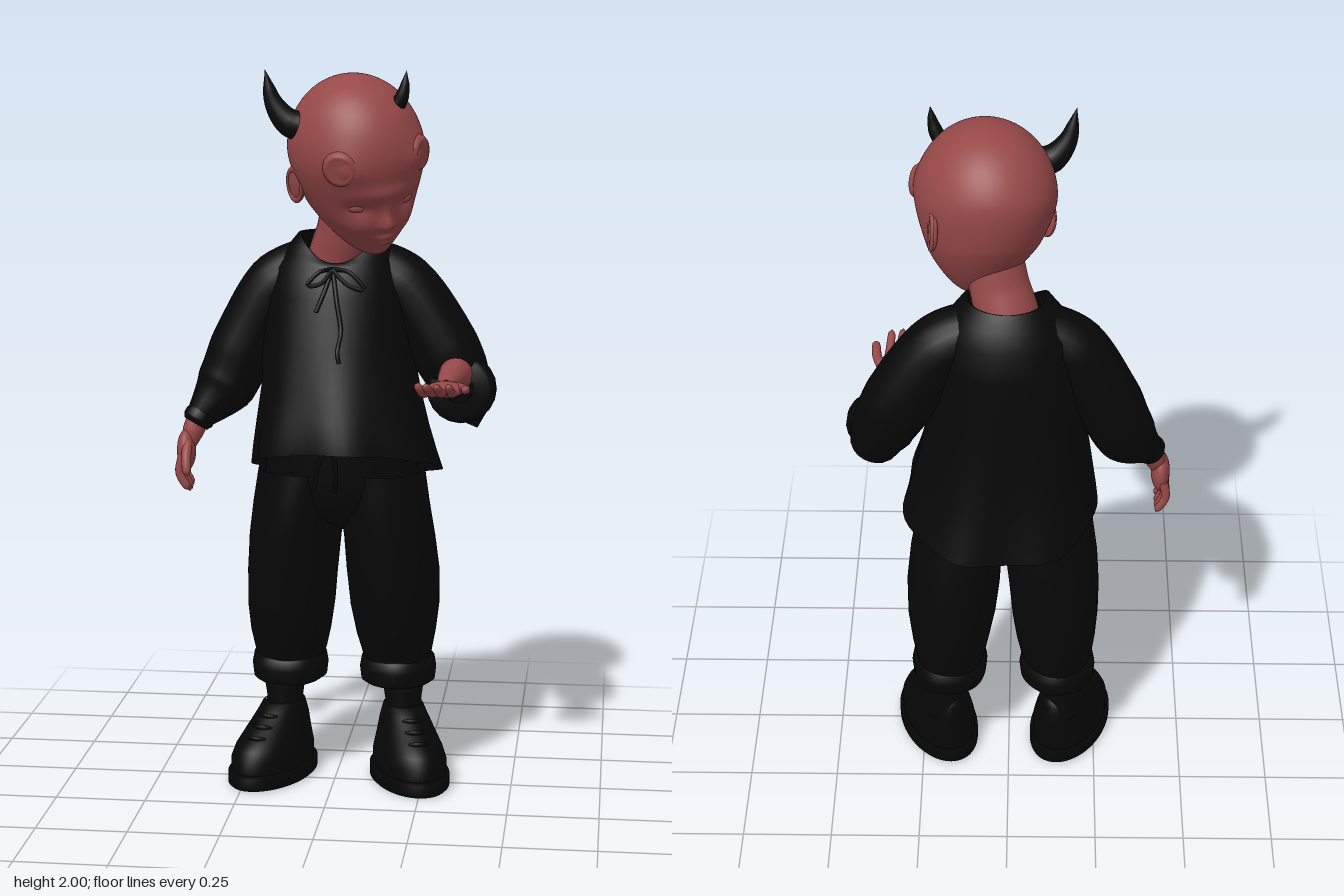
import * as THREE from 'three';
import { mergeVertices } from 'three/addons/utils/BufferGeometryUtils.js';

const mat = (name, color, side = THREE.FrontSide) => {
  const m = new THREE.MeshStandardMaterial({ color, side });
  m.name = name;
  return m;
};
const V = (p) => new THREE.Vector3(...p);

export function createModel() {
  const skin = mat('red skin', 0x964848);
  const cloth = mat('black cloth', 0x070707, THREE.DoubleSide);
  const leather = mat('black leather', 0x060606);
  const hornMat = mat('dark horn', 0x0a0a0a);
  const model = new THREE.Group();
  model.name = 'hornedChild';

  const add = (name, geo, material, parent = model) => {
    const mesh = new THREE.Mesh(geo, material);
    mesh.name = name;
    parent.add(mesh);
    return mesh;
  };

  // Stacked oval rings, bottom to top: [y, zFront, zBack, xCentre, xRadius, tilt, frontDip]
  const loft = (rows, fold = () => 0, seg = 64) => {
    const pos = [], idx = [];
    rows.forEach(([y, zf, zb, cx, rx, tilt = 0, dip = 0], i) => {
      for (let j = 0; j < seg; j++) {
        const a = (j / seg) * Math.PI * 2, f = 1 + fold(a, y), c = Math.cos(a);
        pos.push(cx + rx * f * Math.sin(a), y + tilt * c - dip * Math.max(0, c) ** 2,
          (zf + zb) / 2 + ((zf - zb) / 2) * f * c);
        if (i < rows.length - 1) {
          const p = i * seg + j, q = i * seg + (j + 1) % seg;
          idx.push(p, q, q + seg, p, q + seg, p + seg);
        }
      }
    });
    const g = new THREE.BufferGeometry();
    g.setAttribute('position', new THREE.Float32BufferAttribute(pos, 3));
    g.setIndex(idx);
    g.computeVertexNormals();
    return g;
  };

  // Tube whose radius follows a list of values along its path
  const limb = (points, radii, n = 24, m = 20) => {
    const curve = new THREE.CatmullRomCurve3(points.map(V));
    let g = new THREE.TubeGeometry(curve, n, 1, m);
    const p = g.attributes.position, v = new THREE.Vector3();
    for (let i = 0; i <= n; i++) {
      const c = curve.getPointAt(i / n), t = (i / n) * (radii.length - 1);
      const k = Math.min(Math.floor(t), radii.length - 2);
      const r = THREE.MathUtils.lerp(radii[k], radii[k + 1], t - k);
      for (let j = 0; j <= m; j++) {
        const q = i * (m + 1) + j;
        v.fromBufferAttribute(p, q).sub(c).multiplyScalar(r).add(c);
        p.setXYZ(q, v.x, v.y, v.z);
      }
    }
    g.deleteAttribute('uv');
    g.deleteAttribute('normal');
    g = mergeVertices(g, 1e-5);
    g.computeVertexNormals();
    return g;
  };

  const blob = (name, at, size, material, parent) => {
    const b = add(name, new THREE.SphereGeometry(1, 28, 20), material, parent);
    b.position.set(...at);
    b.scale.set(...size);
    return b;
  };
  const finger = (name, pts, r, parent) => add(name, limb(pts,
    [1, 1, 1, 1, 1, 0.98, 0.96, 0.94, 0.92, 0.9, 0.75, 0].map((k) => k * r), 22, 12), skin, parent);

  // Head: sphere shaped into skull, jaw and face
  const head = new THREE.Group();
  head.name = 'head';
  head.position.set(0.06, 1.79, 0.04);
  head.rotation.set(0.35, 0.576, 0.175, 'YXZ');
  model.add(head);
  // Face relief: [x, y, width, height, depth]
  const relief = [
    [-0.07, -0.09, 0.03, 0.018, -0.014], [0.07, -0.09, 0.03, 0.018, -0.014],
    [0, -0.135, 0.017, 0.022, 0.024], [0, -0.1, 0.012, 0.03, 0.007],
    [-0.018, -0.143, 0.01, 0.01, 0.007], [0.018, -0.143, 0.01, 0.01, 0.007],
    [0, -0.182, 0.026, 0.007, 0.012], [0, -0.201, 0.022, 0.007, 0.011],
    [0, -0.24, 0.03, 0.018, 0.008], [-0.07, -0.15, 0.035, 0.03, 0.01],
    [0.07, -0.15, 0.035, 0.03, 0.01], [0, -0.045, 0.09, 0.02, 0.008],
    [-0.115, 0.03, 0.05, 0.05, 0.016], [0.115, 0.03, 0.05, 0.05, 0.016],
  ];
  let skull = new THREE.SphereGeometry(1, 120, 90);
  const sp = skull.attributes.position;
  for (let i = 0; i < sp.count; i++) {
    let x = sp.getX(i), y = sp.getY(i), z = sp.getZ(i);
    const t = Math.max(0, -y), front = z > 0;
    x *= 0.18 * (1 - 0.36 * t * t);
    y *= y > 0 ? 0.2 : 0.2 + 0.07 * Math.min(1, t * 2);
    z = z * (front ? 0.204 : 0.2 * (1 - 0.45 * t * t)) + 0.08 * t * t;
    if (front) for (const [rx, ry, w, h, d] of relief)
      z += d * Math.exp(-(((x - rx) / w) ** 2) - ((y - ry) / h) ** 2) * Math.min(1, sp.getZ(i) * 4);
    sp.setXYZ(i, x, y, z);
  }
  skull.deleteAttribute('uv');
  skull.deleteAttribute('normal');
  skull = mergeVertices(skull, 1e-5);
  skull.computeVertexNormals();
  add('skull', skull, skin, head);

  for (const s of [-1, 1]) {
    blob('eyelid', [s * 0.069, -0.09, 0.161], [0.028, 0.013, 0.013], skin, head).rotation.y = s * 0.4;
    // Ear with raised rim
    const ear = new THREE.Group();
    ear.name = 'ear';
    ear.position.set(s * 0.168, -0.08, -0.015);
    ear.rotation.set(-0.15, s * -0.35, 0);
    head.add(ear);
    blob('earBody', [0, 0, 0], [0.012, 0.05, 0.031], skin, ear);
    const rim = add('earRim', new THREE.TorusGeometry(0.03, 0.006, 10, 32), skin, ear);
    rim.rotation.y = Math.PI / 2;
    rim.scale.set(0.85, 1.45, 1);
    rim.position.x = s * 0.006;
    // Round stump on the forehead
    const stump = add('browStump', new THREE.LatheGeometry(
      [[0.052, -0.02], [0.047, -0.002], [0.041, 0.006], [0.034, 0.008], [0.026, 0.005], [0, 0.007]]
        .map(([r, y]) => new THREE.Vector2(r, y)), 36), skin, head);
    stump.position.set(s * 0.118, 0.03, 0.157);
    stump.quaternion.setFromUnitVectors(V([0, 1, 0]), V([s * 0.62, 0.1, 0.78]).normalize());
  }

  // Horns
  add('rightHorn', limb([[-0.06, 1.845, 0.1], [-0.11, 1.86, 0.105], [-0.15, 1.91, 0.11], [-0.173, 2, 0.12]],
    [0.042, 0.038, 0.028, 0.017, 0]), hornMat);
  add('leftHorn', limb([[0.155, 1.885, 0.11], [0.185, 1.915, 0.12], [0.198, 1.95, 0.125], [0.205, 2, 0.125]],
    [0.022, 0.021, 0.018, 0.011, 0]), hornMat);
  add('neck', limb([[0, 1.4, -0.065], [0.005, 1.48, -0.055], [0.025, 1.55, -0.03], [0.045, 1.64, -0.005]],
    [0.09, 0.085, 0.08, 0.08]), skin);

  // Loose smock with a hem that drops at the back
  add('smock', loft([
    [0.9, 0.2, -0.305, 0.025, 0.262, 0.075], [0.95, 0.195, -0.29, 0.02, 0.252, 0.06],
    [1.02, 0.18, -0.272, 0.015, 0.238, 0.04], [1.12, 0.155, -0.255, 0.01, 0.22, 0.02],
    [1.25, 0.12, -0.245, 0, 0.208], [1.38, 0.085, -0.238, 0, 0.198],
    [1.46, 0.06, -0.222, 0, 0.178, 0, 0.02], [1.51, 0.045, -0.195, 0.005, 0.145, 0, 0.045],
    [1.55, 0.036, -0.168, 0.005, 0.112, 0, 0.075], [1.545, 0.026, -0.158, 0.005, 0.102, 0, 0.075],
  ], (a, y) => Math.max(0, (1.3 - y) / 0.4) * (0.035 * Math.sin(7 * a + 1) + 0.09 * Math.sin(2 * a) ** 2 * (Math.cos(a) < 0 ? 1 : 0.2))), cloth);

  // Sleeves
  add('rightSleeve', limb([[-0.07, 1.465, -0.09], [-0.168, 1.4, -0.09], [-0.262, 1.24, -0.09],
    [-0.315, 1.12, -0.08], [-0.385, 1.03, -0.035]], [0.075, 0.09, 0.09, 0.091, 0.085, 0.04], 32), cloth);
  add('rightCuff', limb([[-0.375, 1.045, -0.045], [-0.385, 1.03, -0.035], [-0.395, 1.012, -0.03]],
    [0.036, 0.044, 0.044, 0.036]), cloth);
  add('leftSleeve', limb([[0.07, 1.465, -0.09], [0.18, 1.4, -0.09], [0.285, 1.245, -0.09],
    [0.345, 1.13, -0.085], [0.39, 1.01, -0.07]],
    [0.075, 0.085, 0.092, 0.094, 0.096, 0.098, 0.098, 0.092, 0.08, 0.065, 0], 44), cloth);
  add('leftCuff', limb([[0.35, 1.12, -0.09], [0.345, 1.125, -0.03], [0.342, 1.135, 0.012]],
    [0.08, 0.095, 0.096, 0.094, 0.086, 0.04]), cloth);

  // Left arm held forward, palm up
  const leftHand = new THREE.Group();
  leftHand.name = 'leftHand';
  model.add(leftHand);
  add('leftForearm', limb([[0.335, 1.16, -0.05], [0.33, 1.174, 0.03], [0.322, 1.168, 0.09], [0.318, 1.162, 0.16]],
    [0.047, 0.046, 0.038, 0.03, 0.02]), skin, leftHand);
  blob('leftPalm', [0.316, 1.158, 0.172], [0.051, 0.021, 0.062], skin, leftHand);
  [[0.277, 0.247, 0.27], [0.298, 0.272, 0.298], [0.32, 0.302, 0.312], [0.343, 0.334, 0.306]].forEach(([bx, tx, tz]) =>
    finger('leftFinger', [[bx, 1.157, 0.19], [(bx + tx) / 2, 1.16, 0.24], [tx, 1.19, tz]], 0.0125, leftHand));
  finger('leftThumb', [[0.345, 1.16, 0.14], [0.37, 1.165, 0.2], [0.378, 1.175, 0.27]], 0.014, leftHand);

  // Right arm hanging
  const rightHand = new THREE.Group();
  rightHand.name = 'rightHand';
  model.add(rightHand);
  add('rightWrist', limb([[-0.37, 1.07, -0.05], [-0.395, 1.01, -0.03], [-0.415, 0.95, -0.015]],
    [0.033, 0.033, 0.03, 0.02]), skin, rightHand);
  blob('rightPalm', [-0.419, 0.94, -0.015], [0.026, 0.06, 0.048], skin, rightHand);
  for (let i = 0; i < 4; i++) {
    const z = -0.052 + i * 0.023;
    finger('rightFinger', [[-0.426, 0.93, z], [-0.433, 0.88, z * 1.1], [-0.407, 0.82 + 0.008 * Math.abs(i - 1.5), z * 1.15]], 0.0125, rightHand);
  }
  finger('rightThumb', [[-0.412, 0.965, 0.01], [-0.41, 0.925, 0.045], [-0.405, 0.88, 0.062]], 0.014, rightHand);

  // Neck tie and waist string
  [[[0, 1.462, 0.05], [0.015, 1.38, 0.09], [0.03, 1.3, 0.12], [0.025, 1.25, 0.16], [0.03, 1.22, 0.165]],
    [[0, 1.462, 0.05], [-0.02, 1.4, 0.088], [-0.04, 1.35, 0.105]],
    [[0, 1.462, 0.05], [0.05, 1.455, 0.075], [0.09, 1.41, 0.085], [0.05, 1.42, 0.085], [0, 1.46, 0.06]],
    [[0, 1.462, 0.05], [-0.035, 1.455, 0.075], [-0.065, 1.42, 0.085], [-0.03, 1.425, 0.085], [0, 1.46, 0.06]],
    [[-0.01, 0.99, 0.15], [-0.03, 0.93, 0.145], [-0.04, 0.87, 0.135]],
    [[0.01, 0.99, 0.15], [0.02, 0.92, 0.145], [0.015, 0.86, 0.13]],
  ].forEach((p) => add('tie', limb(p, [0.006, 0.006], 24, 8), cloth));

  // Trousers
  add('trouserSeat', loft([[0.72, -0.03, -0.1, 0.015, 0.03], [0.76, 0.06, -0.17, 0.015, 0.1],
    [0.81, 0.11, -0.2, 0.015, 0.19], [0.88, 0.125, -0.212, 0.015, 0.215], [1, 0.13, -0.2, 0.015, 0.2]]), cloth);
  for (const s of [-1, 1]) {
    const side = s < 0 ? 'right' : 'left', x = (d) => s * d + 0.015;
    add(side + 'TrouserLeg', loft([
      [0.31, 0.0, -0.2, x(0.155), 0.085], [0.36, 0.015, -0.215, x(0.152), 0.1],
      [0.42, 0.05, -0.228, x(0.15), 0.112], [0.5, 0.075, -0.238, x(0.147), 0.123],
      [0.6, 0.095, -0.243, x(0.142), 0.129], [0.7, 0.112, -0.232, x(0.133), 0.129],
      [0.8, 0.122, -0.218, x(0.12), 0.126], [0.9, 0.12, -0.2, x(0.11), 0.12],
    ], (a, y) => 0.018 * Math.sin(4 * a + y * 14 * s)), cloth);
    add(side + 'TrouserCuff', loft([
      [0.285, -0.01, -0.185, x(0.155), 0.075], [0.27, 0.005, -0.2, x(0.155), 0.09],
      [0.28, 0.018, -0.213, x(0.155), 0.104], [0.315, 0.024, -0.218, x(0.155), 0.108],
      [0.343, 0.016, -0.214, x(0.155), 0.103], [0.352, -0.005, -0.2, x(0.155), 0.085],
    ], (a) => 0.015 * Math.sin(5 * a + s)), cloth);
    add(side + 'Ankle', loft([[0.24, -0.045, -0.155, x(0.17), 0.05], [0.33, -0.04, -0.16, x(0.168), 0.054]]), skin);
    add(side + 'Sock', loft([[0.15, -0.03, -0.175, x(0.172), 0.058], [0.215, -0.035, -0.165, x(0.17), 0.051],
      [0.25, -0.03, -0.168, x(0.17), 0.056], [0.262, -0.035, -0.165, x(0.17), 0.054], [0.262, -0.06, -0.14, x(0.17), 0.03]]), cloth);

    // Chunky shoe, toe turned out
    const shoe = new THREE.Group();
    shoe.name = side + 'Shoe';
    shoe.position.set(x(0.195), 0, -0.025);
    shoe.rotation.y = s * 0.35;
    model.add(shoe);
    add('sole', loft([[0, 0.001, -0.001, 0, 0.001], [0, 0.176, -0.176, 0, 0.1], [0.006, 0.183, -0.183, 0, 0.106],
      [0.036, 0.183, -0.183, 0, 0.106], [0.043, 0.176, -0.176, 0, 0.1], [0.043, 0.001, -0.001, 0, 0.001]]), leather, shoe);
    add('upper', loft([[0.04, 0.17, -0.17, 0, 0.098], [0.075, 0.17, -0.17, 0, 0.098], [0.105, 0.152, -0.166, 0, 0.09],
      [0.13, 0.115, -0.162, 0, 0.081], [0.16, 0.067, -0.158, 0, 0.071], [0.185, 0.03, -0.15, 0, 0.062],
      [0.203, 0.008, -0.142, 0, 0.056], [0.206, -0.01, -0.13, 0, 0.05]]), leather, shoe);
    for (let i = 0; i < 3; i++) {
      const y = 0.135 + i * 0.023, z = 0.108 - i * 0.036;
      add('lace', limb([[-0.05, y - 0.01, z - 0.03], [0, y, z + 0.004], [0.05, y - 0.01, z - 0.03]],
        [0, 0.007, 0.007, 0], 14, 8), leather, shoe);
    }
  }
  return model;
}
